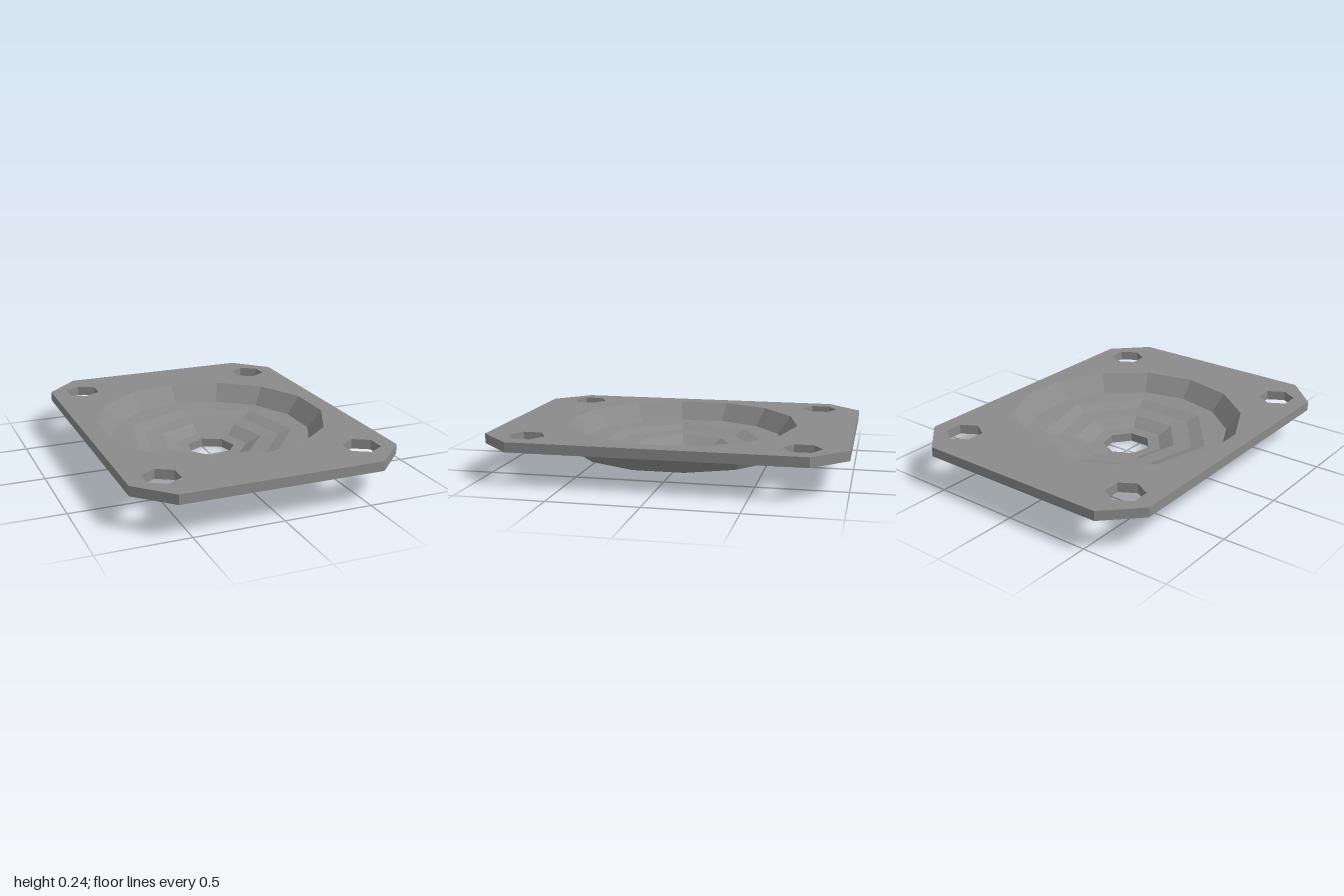
import * as THREE from 'three';

const SIDES = 14;

// Regular polygon with its first corner on the +y axis of the shape
function polygon(radius, sides, cx = 0, cy = 0) {
  const points = [];
  for (let i = 0; i < sides; i++) {
    const a = (i / sides) * Math.PI * 2;
    points.push(new THREE.Vector2(cx + radius * Math.sin(a), cy + radius * Math.cos(a)));
  }
  return new THREE.Path(points);
}

// Flat plate with clipped corners, four bolt holes and a central opening
function flangeGeometry() {
  const shape = new THREE.Shape([
    [0.76, -0.81], [0.76, 0.81], [0.57, 1], [-0.57, 1],
    [-0.76, 0.81], [-0.76, -0.81], [-0.57, -1], [0.57, -1],
  ].map(([x, y]) => new THREE.Vector2(x, y)));
  shape.holes.push(polygon(0.67, SIDES));
  for (const sx of [-1, 1]) {
    for (const sy of [-1, 1]) shape.holes.push(polygon(0.105, 6, sx * 0.573, sy * 0.755));
  }
  const geometry = new THREE.ExtrudeGeometry(shape, { depth: 0.055, bevelEnabled: false });
  return geometry.rotateX(-Math.PI / 2).translate(0, 0.185, 0);
}

// Stepped dish: upper face inward, through the centre hole, lower face outward
function dishGeometry() {
  const profile = [
    [0.67, 0.24], [0.59, 0.135], [0.49, 0.13], [0.41, 0.105], [0.3, 0.098], [0.215, 0.055], [0.14, 0.05],
    [0.14, 0], [0.245, 0], [0.31, 0.053], [0.4, 0.066], [0.42, 0.075],
    [0.59, 0.077], [0.645, 0.092], [0.7, 0.185],
  ].map(([r, y]) => new THREE.Vector2(r, y));
  const geometry = new THREE.LatheGeometry(profile, SIDES);
  const pos = geometry.attributes.position;
  // Inner rings have half as many sides: pull every other corner onto its chord
  const chord = Math.cos(Math.PI / (SIDES / 2));
  for (let i = 0; i < pos.count; i++) {
    const column = Math.floor(i / profile.length);
    const radius = Math.hypot(pos.getX(i), pos.getZ(i));
    if (column % 2 === 0 && radius < 0.5) {
      pos.setX(i, pos.getX(i) * chord);
      pos.setZ(i, pos.getZ(i) * chord);
    }
  }
  return geometry;
}

export function createModel() {
  const group = new THREE.Group();
  const material = new THREE.MeshStandardMaterial({ color: 0x8b8b8b, flatShading: true });
  const add = (name, geometry) => {
    const mesh = new THREE.Mesh(geometry, material);
    mesh.name = name;
    group.add(mesh);
  };
  add('mountingPlate', flangeGeometry());
  add('steppedDish', dishGeometry());
  return group;
}
